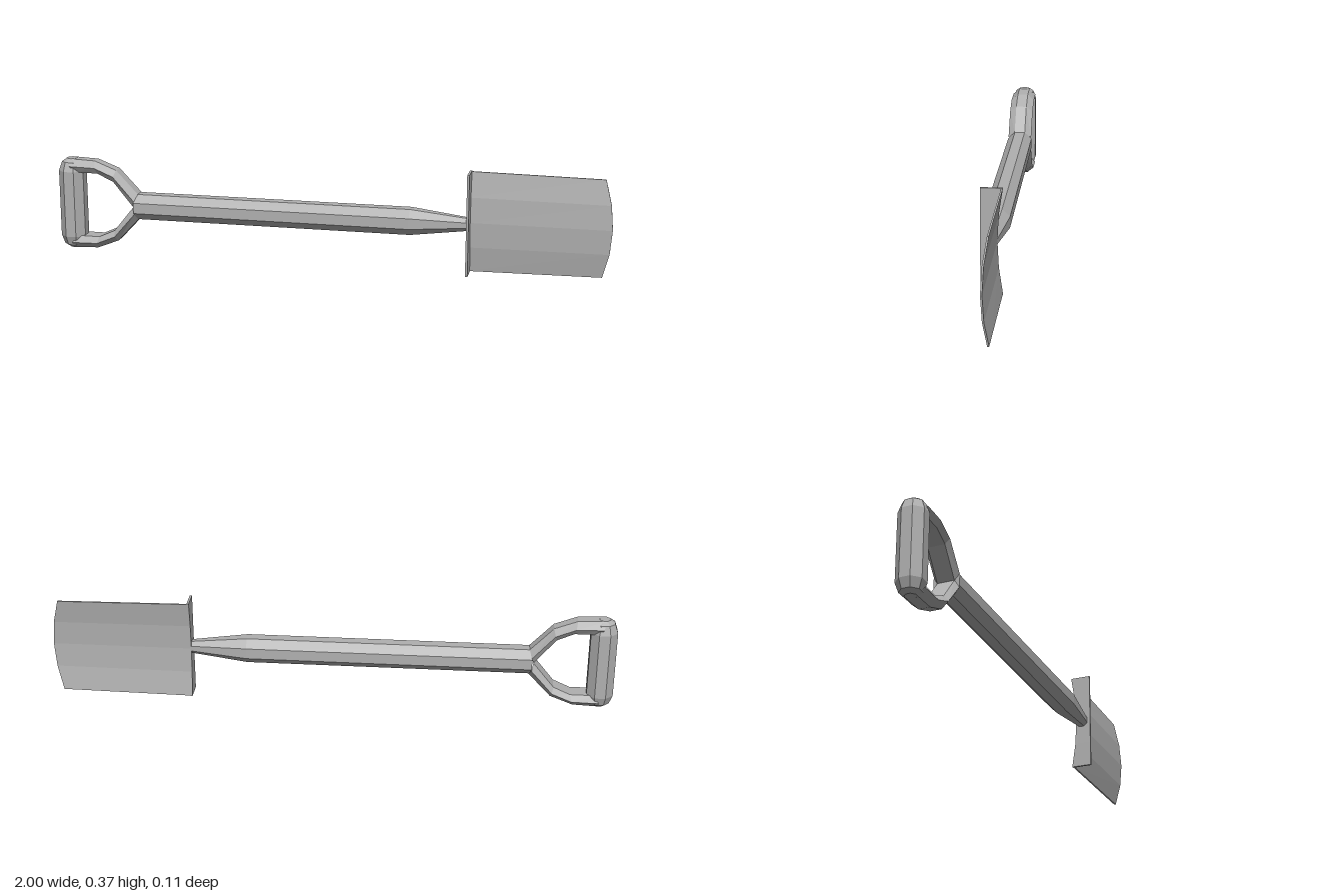
import * as THREE from 'three';

const steel = new THREE.MeshStandardMaterial({ color: 0xb0b0b0 });
steel.name = 'grey steel';

// Faceted mesh: split the faces so each keeps its own flat normal
function facetedMesh(geometry, name) {
  const flat = geometry.index ? geometry.toNonIndexed() : geometry;
  flat.computeVertexNormals();
  const mesh = new THREE.Mesh(flat, steel);
  mesh.name = name;
  return mesh;
}

// Eight-sided turned part; points are [radius, height]
function turned(points) {
  return new THREE.LatheGeometry(points.map(([r, h]) => new THREE.Vector2(r, h)), 8, Math.PI / 8);
}

// Moves the corners of a unit box, divided in four along y, by a rule
function shapedBox(rule) {
  const geometry = new THREE.BoxGeometry(1, 1, 1, 1, 4, 1);
  const p = geometry.attributes.position;
  for (let i = 0; i < p.count; i++) {
    p.setXYZ(i, ...rule(p.getX(i) + 0.5, p.getY(i) * 2, p.getZ(i) + 0.5));
  }
  return geometry;
}

// Flattened six-sided bar lofted through pairs of outer and inner points
function armGeometry() {
  const pairs = [
    [-0.96, 0.167, -0.94, 0.119],
    [-0.86, 0.163, -0.85, 0.119],
    [-0.78, 0.132, -0.79, 0.092],
    [-0.70, 0.047, -0.715, 0.0],
  ];
  const section = [[1, 0.02], [0.5, 0.045], [0, 0.03], [0, -0.03], [0.5, -0.045], [1, -0.02]];
  const positions = [];
  const index = [];
  const n = section.length;
  pairs.forEach(([ox, oy, ix, iy], i) => {
    section.forEach(([t, z], j) => {
      positions.push(ix + (ox - ix) * t, iy + (oy - iy) * t, z);
      if (i === pairs.length - 1) return;
      const a = i * n + j;
      const b = i * n + (j + 1) % n;
      index.push(a, b, a + n, b, b + n, a + n);
    });
  });
  const geometry = new THREE.BufferGeometry();
  geometry.setAttribute('position', new THREE.Float32BufferAttribute(positions, 3));
  geometry.setIndex(index);
  return geometry;
}

export function createModel() {
  const model = new THREE.Group();
  model.name = 'spade';

  // Whole tool leans slightly forward towards the blade
  const tool = new THREE.Group();
  tool.name = 'tool';
  tool.position.set(0, 0.183, 0.003);
  tool.rotation.y = -0.016;
  model.add(tool);

  // Shaft with tapered socket end
  const shaft = turned([[0, -0.71], [0.05, -0.71], [0.05, 0.3], [0.024, 0.503], [0, 0.503]]);
  shaft.rotateZ(-Math.PI / 2);
  tool.add(facetedMesh(shaft, 'shaft'));

  // Grip bar with rounded ends
  const grip = facetedMesh(turned([
    [0, -0.167], [0.02, -0.167], [0.038, -0.155], [0.05, -0.122],
    [0.05, 0.122], [0.038, 0.155], [0.02, 0.167], [0, 0.167],
  ]), 'grip');
  grip.position.x = -0.954;
  tool.add(grip);

  // Upper and lower arms of the handle
  ['upperArm', 'lowerArm'].forEach((name, i) => {
    const arm = facetedMesh(armGeometry(), name);
    arm.rotation.x = i * Math.PI;
    tool.add(arm);
  });

  // Blade, bowed forward in the middle with a curved cutting edge
  tool.add(facetedMesh(shapedBox((u, v, w) => [
    0.5 + u * (0.5 - 0.03 * v * v),
    v * (0.181 - 0.006 * u),
    -0.022 + 0.006 * w - 0.018 * v * v,
  ]), 'blade'));

  // Tread lip standing forward along the top of the blade
  tool.add(facetedMesh(shapedBox((u, v, w) => [
    0.5 + 0.008 * u,
    v * 0.183,
    w > 0.5 ? 0.034 : -0.022 - 0.018 * v * v,
  ]), 'treadLip'));

  return model;
}
